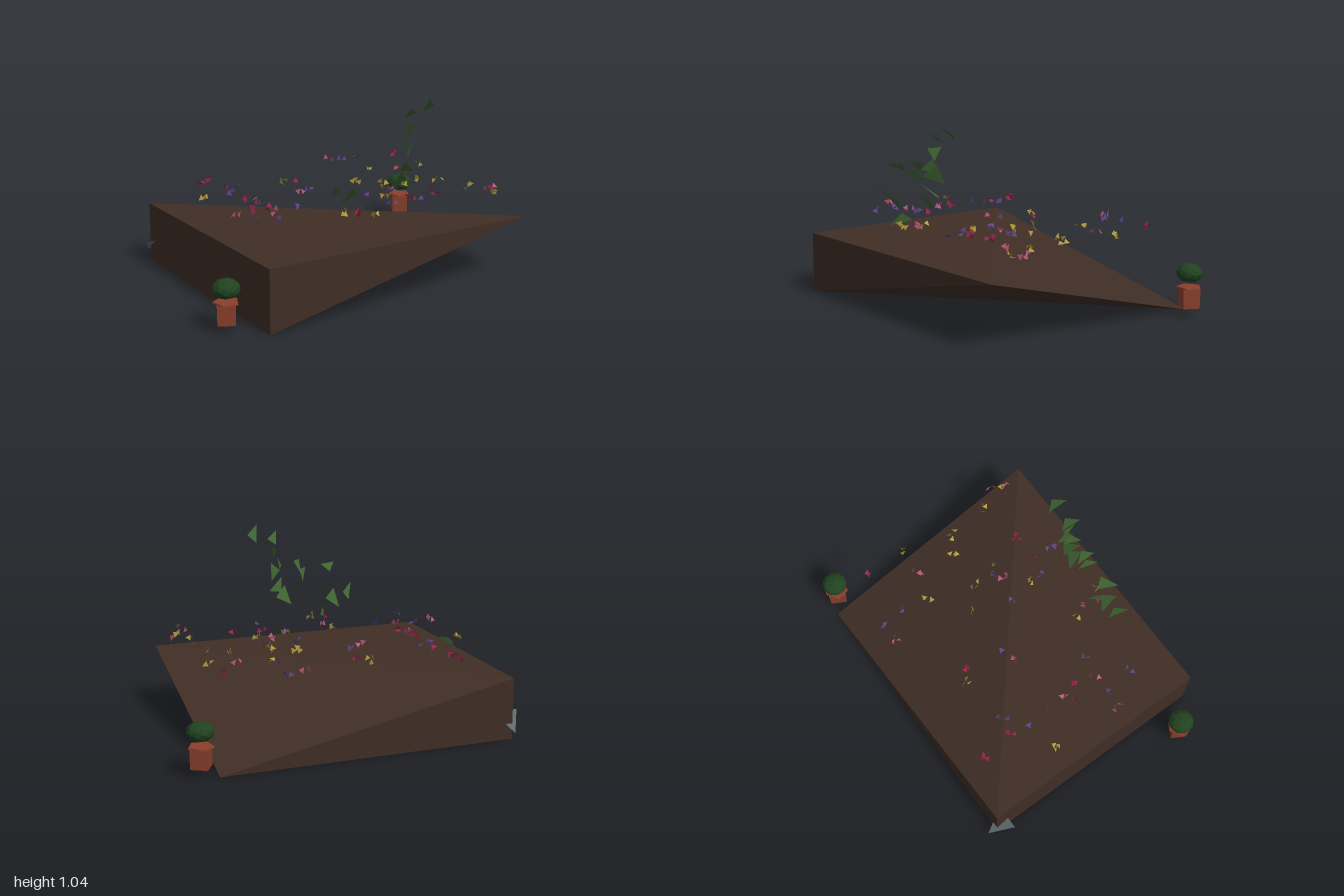
import * as THREE from 'three';

const mat = (color) => new THREE.MeshStandardMaterial({ color, flatShading: true, side: THREE.DoubleSide });

// Flat-shaded mesh from a short list of triangles, each made of three [x, y, z] corners
function triMesh(name, triangles, material) {
  const geo = new THREE.BufferGeometry();
  geo.setAttribute('position', new THREE.Float32BufferAttribute(triangles.flat(2), 3));
  geo.computeVertexNormals();
  const mesh = new THREE.Mesh(geo, material);
  mesh.name = name;
  return mesh;
}

function seeded(seed) {
  return () => {
    seed = (seed * 16807) % 2147483647;
    return seed / 2147483647;
  };
}

// Pot with a thin rim and a faceted shrub above it
function planter(x, z, lift) {
  const g = new THREE.Group();
  g.name = 'planter';
  const add = (name, geo, color, y) => {
    const m = new THREE.Mesh(geo, mat(color));
    m.name = name;
    m.position.y = y;
    g.add(m);
    return m;
  };
  const clay = 0x8a3f2c;
  add('pot', new THREE.CylinderGeometry(0.066, 0.064, 0.105, 4), clay, 0.093).rotation.y = 0.28;
  add('potRim', new THREE.CylinderGeometry(0.068, 0.07, 0.008, 5), clay, 0.15).rotation.y = 0.5;
  add('shrub', new THREE.IcosahedronGeometry(0.072, 1).scale(1, 0.72, 1), 0x21421f, 0.22 + lift);
  g.position.set(x, 0, z);
  return g;
}

export function createModel() {
  const model = new THREE.Group();

  // Wedge-shaped soil bed: full height on the left edge, one raised and one low corner on the right
  const A0 = [-0.78, 0, 0.7], A1 = [-0.78, 0.34, 0.7];
  const D0 = [-0.78, 0, -0.65], D1 = [-0.78, 0.34, -0.65];
  const B = [0.85, 0.34, 0.7], C = [0.85, 0, -0.65];
  model.add(triMesh('soilBed', [
    [A1, B, D1], [B, C, D1],
    [A0, B, A1],
    [A0, A1, D1], [A0, D1, D0],
    [D0, D1, C],
    [A0, D0, C], [A0, C, B],
  ], mat(0x3f2e25)));

  // Loose grey shard at the back corner
  model.add(triMesh('stoneShard', [
    [[-0.845, 0.14, -0.575], [-0.7, 0.14, -0.575], [-0.77, 0.05, -0.705]],
  ], mat(0x5c686c)));

  model.add(planter(-0.928, 0.53, 0), planter(0.928, -0.585, 0.008));

  // Floating leaves: x, y of three corners, in hundredths
  const leaves = [
    [26, 104, 33, 99, 29, 95], [14, 100, 21, 96, 17, 93], [-22, 79, -12, 79, -16, 75],
    [-4, 77, 1, 77, 1, 70], [0, 82, 5, 82, 2, 75], [11, 79, 15, 85, 15, 78],
    [12, 76, 19, 82, 20, 72], [11, 72, 20, 65, 14, 65], [9, 67, 16, 61, 8, 57],
    [-33, 66, -26, 61, -28, 57], [-22, 63, -15, 58, -22, 53], [-17, 46, -13, 53, -10, 49],
    [17, 91, 17, 84, 17, 91],
  ];
  const leafTris = leaves.map(([x1, y1, x2, y2, x3, y3]) => [
    [x1 / 100, y1 / 100, 0.577], [x2 / 100, y2 / 100, 0.53], [x3 / 100, y3 / 100, 0.485],
  ]);
  model.add(triMesh('leaves', leafTris, mat(0x3d6330)));

  // Scattered petals: x, z of each flower, in hundredths
  const flowers = [
    [-53, -52], [-48, -51], [-46, -32], [-37, -32], [-49, -24], [-7, -34], [-1, -29], [-66, -18],
    [-47, -6], [-48, 2], [-51, 8], [-45, 12], [-68, 23], [-61, 24], [-48, 24], [-35, 27],
    [-56, 42], [-7, -9], [-13, -7], [24, -7], [15, 13], [30, 18], [38, 18], [34, 16],
    [47, -39], [45, -24], [77, -42], [62, -18], [77, -18], [59, 4], [68, 11], [72, 36],
    [79, 46], [74, 52], [78, 53], [45, 39], [30, 40], [19, 31], [18, 36], [-13, 39],
    [-10, 44], [30, 51], [-7, 58], [-13, 54], [35, 3], [35, -53], [45, -53],
  ];
  const colors = [0x94254b, 0xb39a3c, 0x5d4389, 0xb85577];
  const petals = colors.map(() => []);
  const rand = seeded(77);
  flowers.forEach(([fx, fz]) => {
    const kind = Math.floor(rand() * 4);
    const y = 0.435 + rand() * 0.045;
    for (let k = 0; k < 3; k++) {
      const turn = new THREE.Euler(rand() * 6.3, rand() * 6.3, rand() * 6.3);
      const centre = new THREE.Vector3(
        fx / 100 + (rand() - 0.5) * 0.05, y + (rand() - 0.5) * 0.03, fz / 100 + (rand() - 0.5) * 0.05);
      petals[kind].push([0, 2.1, 4.2].map((a) => new THREE.Vector3(0.02 * Math.cos(a), 0.02 * Math.sin(a), 0)
        .applyEuler(turn).add(centre).toArray()));
    }
  });
  petals.forEach((tris, i) => model.add(triMesh('petals' + (i + 1), tris, mat(colors[i]))));

  return model;
}
